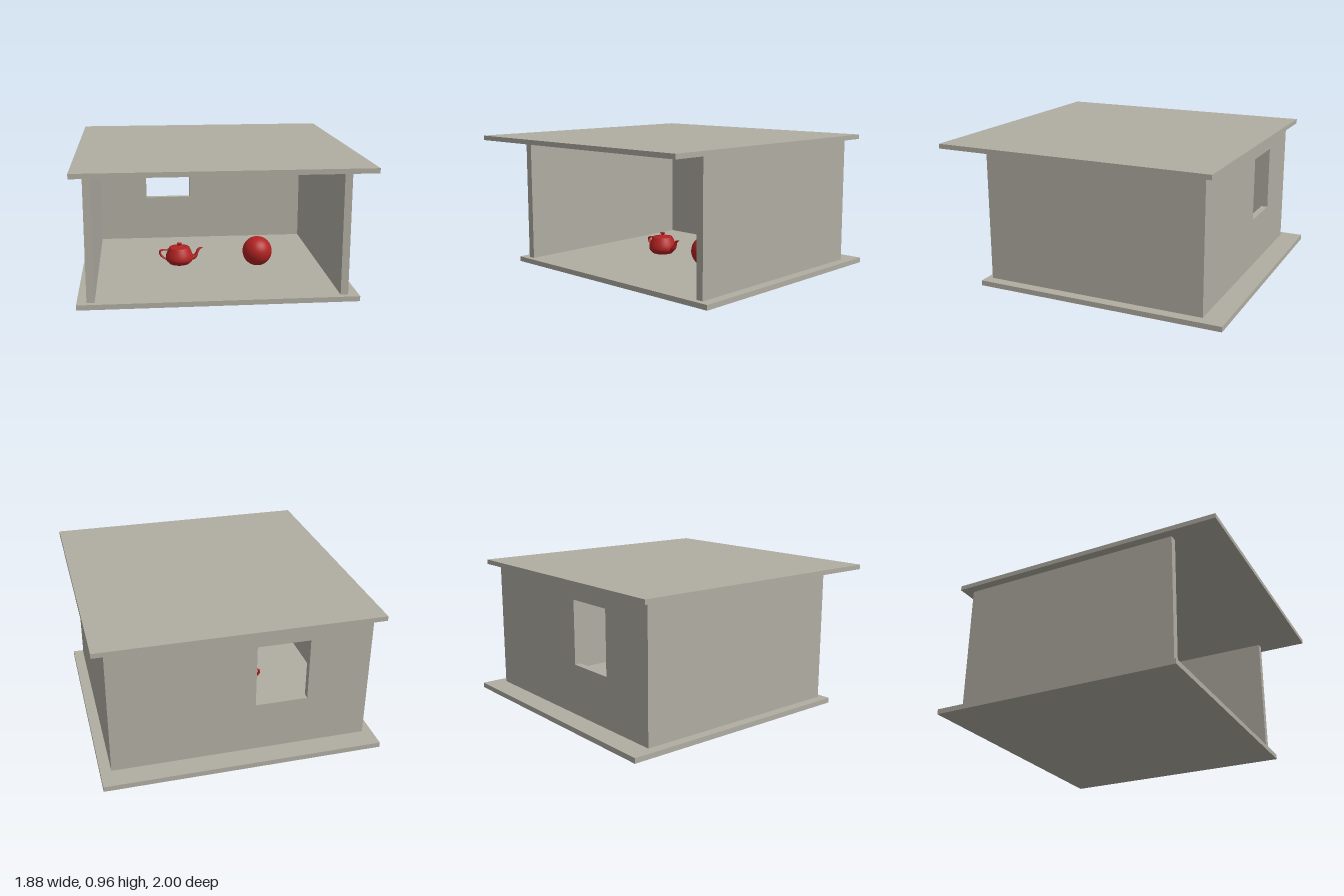
import * as THREE from 'three';
import { ParametricGeometry } from 'three/addons/geometries/ParametricGeometry.js';

const stone = new THREE.MeshStandardMaterial({ name: 'warm grey', color: 0xb0ada2 });
const red = new THREE.MeshStandardMaterial({ name: 'deep red', color: 0xb22222, side: THREE.DoubleSide });

function add(parent, name, geometry, material) {
  const mesh = new THREE.Mesh(geometry, material);
  mesh.name = name;
  parent.add(mesh);
  return mesh;
}

// Box given by its extents on each axis
function slab(parent, name, [x0, x1], [y0, y1], [z0, z1]) {
  const mesh = add(parent, name, new THREE.BoxGeometry(x1 - x0, y1 - y0, z1 - z0), stone);
  mesh.position.set((x0 + x1) / 2, (y0 + y1) / 2, (z0 + z1) / 2);
}

// Chain of cubic Bezier segments; every third point is shared
function bezierPath(points) {
  const v = points.map(([x, y]) => new THREE.Vector2(x, y));
  const path = new THREE.CurvePath();
  for (let i = 0; i + 3 < v.length; i += 3) {
    path.add(new THREE.CubicBezierCurve(v[i], v[i + 1], v[i + 2], v[i + 3]));
  }
  return path;
}

function turned(points) {
  const profile = bezierPath(points).getPoints(8);
  profile.forEach((p) => { p.x = Math.max(p.x, 0); });
  return new THREE.LatheGeometry(profile, 40);
}

// Oval tube running between an upper and a lower outline, with its half width along the way
function ovalTube(upper, lower, halfWidth) {
  const a = bezierPath(upper), b = bezierPath(lower);
  const at = (path, t) => {
    const s = t * path.curves.length;
    const i = Math.min(Math.floor(s), path.curves.length - 1);
    return path.curves[i].getPoint(s - i);
  };
  return new ParametricGeometry((u, t, target) => {
    const p = at(a, t), q = at(b, t), angle = u * Math.PI * 2;
    const k = (1 + Math.cos(angle)) / 2;
    target.set(q.x + (p.x - q.x) * k, q.y + (p.y - q.y) * k, Math.sin(angle) * halfWidth(t));
  }, 16, 20);
}

function createTeapot() {
  const pot = new THREE.Group();
  pot.name = 'teapot';
  add(pot, 'teapotBody', turned([
    [0, 0], [1.425, 0], [1.5, 0.075], [1.5, 0.15],
    [1.5, 0.225], [2, 0.45], [2, 0.9],
    [2, 1.35], [1.75, 1.875], [1.5, 2.4],
    [1.44, 2.53], [1.34, 2.53], [1.4, 2.4],
  ]), red);
  add(pot, 'teapotLid', turned([
    [1.4, 2.4], [1.3, 2.55], [0.4, 2.55], [0.2, 2.7],
    [0, 2.85], [0.8, 3.15], [0, 3.15],
  ]), red);
  add(pot, 'teapotHandle', ovalTube(
    [[-1.5, 2.25], [-2.5, 2.25], [-3, 2.25], [-3, 1.8], [-3, 1.35], [-2.65, 0.94], [-1.9, 0.6]],
    [[-1.6, 2.03], [-2.3, 2.03], [-2.7, 2.03], [-2.7, 1.8], [-2.7, 1.58], [-2.5, 1.13], [-2, 0.9]],
    () => 0.23), red);
  add(pot, 'teapotSpout', ovalTube(
    [[1.7, 1.28], [2.6, 1.28], [2.3, 1.95], [2.7, 2.25], [2.8, 2.33], [2.9, 2.33], [2.8, 2.25]],
    [[1.7, 0.45], [3.1, 0.68], [2.4, 1.88], [3.3, 2.25], [3.53, 2.34], [3.45, 2.36], [3.2, 2.25]],
    (t) => 0.5 - 0.31 * Math.min(1, t * 2)), red);
  pot.scale.setScalar(0.051);
  return pot;
}

export function createModel() {
  const model = new THREE.Group();
  model.name = 'openRoom';

  // Slabs and side walls
  slab(model, 'floor', [-0.94, 0.93], [0, 0.035], [-1, 0.72]);
  slab(model, 'roof', [-0.935, 0.937], [0.925, 0.957], [-0.915, 1]);
  slab(model, 'rightWall', [-0.875, -0.823], [0.035, 0.925], [-0.85, 0.68]);
  slab(model, 'leftWall', [0.807, 0.858], [0.035, 0.925], [-0.85, 0.68]);

  // Back wall with a window opening
  const rect = (shape, x0, x1, y0, y1) =>
    shape.moveTo(x0, y0).lineTo(x1, y0).lineTo(x1, y1).lineTo(x0, y1).closePath();
  const wall = new THREE.Shape();
  rect(wall, -0.823, 0.807, 0.035, 0.925);
  const windowHole = new THREE.Path();
  rect(windowHole, -0.455, -0.102, 0.38, 0.815);
  wall.holes.push(windowHole);
  add(model, 'backWall', new THREE.ExtrudeGeometry(wall, { depth: 0.045, bevelEnabled: false }), stone)
    .position.z = -0.85;

  // Objects in the room
  add(model, 'ball', new THREE.SphereGeometry(0.107, 40, 28), red).position.set(0.335, 0.165, 0.055);
  const teapot = createTeapot();
  teapot.position.set(-0.228, 0.041, -0.08);
  model.add(teapot);

  return model;
}
